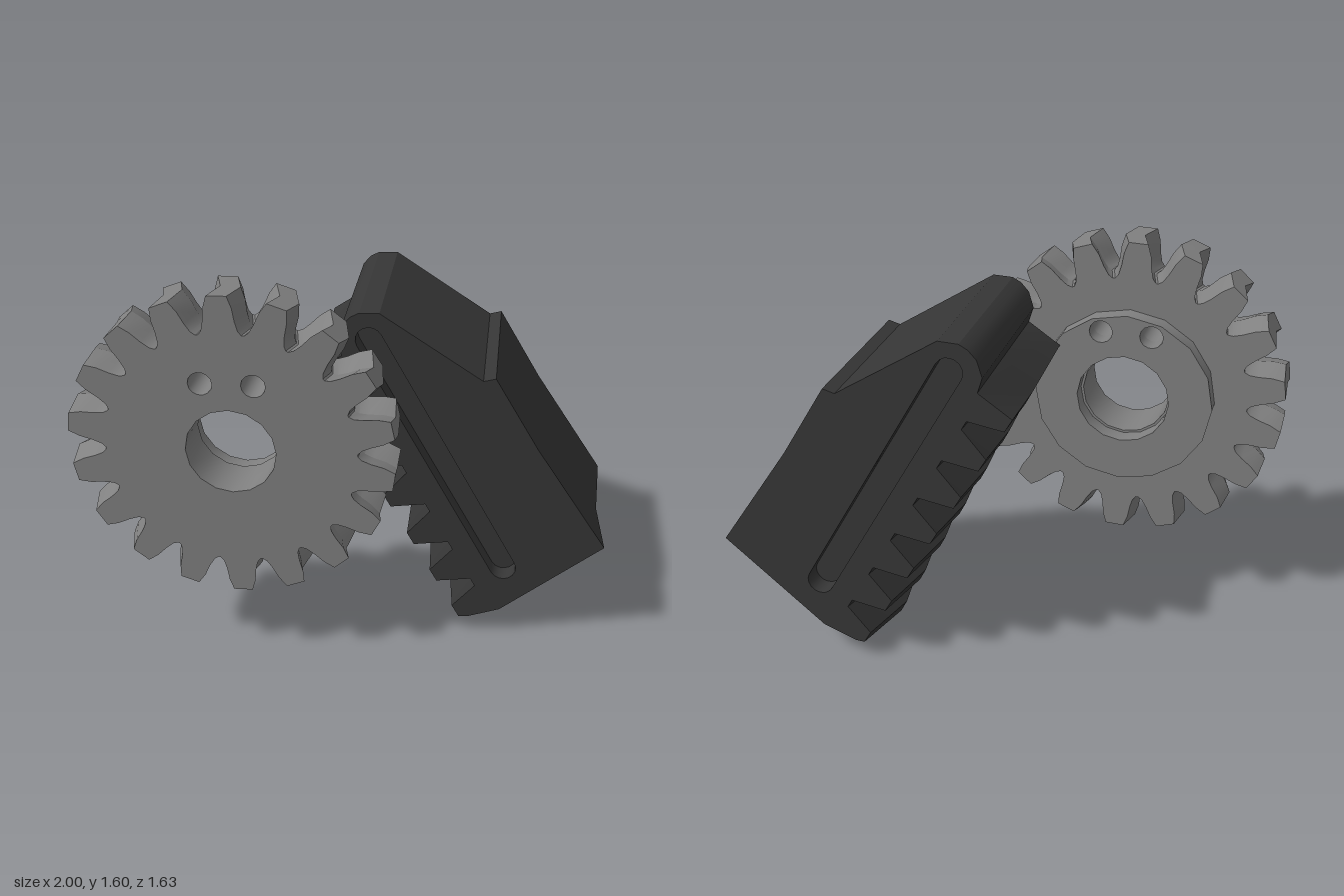
import * as THREE from 'three';
import { toCreasedNormals } from 'three/addons/utils/BufferGeometryUtils.js';

const V = (x, y) => new THREE.Vector2(x, y);

// Points of an arc, anticlockwise when a1 > a0
function arc(cx, cy, r, a0, a1, n) {
  const pts = [];
  for (let i = 0; i <= n; i++) {
    const a = a0 + (a1 - a0) * i / n;
    pts.push(V(cx + r * Math.cos(a), cy + r * Math.sin(a)));
  }
  return pts;
}

// Clockwise circle used as a hole
const hole = (x, y, r, n) => arc(x, y, r, 0, -2 * Math.PI, n).slice(0, n);

// Solid with equal end sections and a shifted middle section (herringbone).
// Holes go right through, or are pockets of the given depth in both ends.
function chevronSolid(end, mid, holes, z0, z1, pocket) {
  const pos = [];
  const tri = (...p) => p.forEach(([v, z]) => pos.push(v.x, v.y, z));
  const wall = (lo, hi, za, zb) => lo.forEach((p, i) => {
    const j = (i + 1) % lo.length;
    tri([p, za], [lo[j], za], [hi[j], zb]);
    tri([p, za], [hi[j], zb], [hi[i], zb]);
  });
  const cap = (outline, inner, z, up) => {
    const all = [outline, ...inner].flat();
    for (const [a, b, c] of THREE.ShapeUtils.triangulateShape(outline.slice(), inner.map((h) => h.slice()))) {
      if (up) tri([all[a], z], [all[b], z], [all[c], z]);
      else tri([all[a], z], [all[c], z], [all[b], z]);
    }
  };
  const zm = (z0 + z1) / 2;
  wall(end, mid, z0, zm);
  wall(mid, end, zm, z1);
  cap(end, holes, z1, true);
  cap(end, holes, z0, false);
  for (const h of holes) {
    if (pocket) {
      const floor = h.slice().reverse();
      wall(h, h, z1 - pocket, z1);
      wall(h, h, z0, z0 + pocket);
      cap(floor, [], z1 - pocket, true);
      cap(floor, [], z0 + pocket, false);
    } else wall(h, h, z0, z1);
  }
  const g = new THREE.BufferGeometry();
  g.setAttribute('position', new THREE.Float32BufferAttribute(pos, 3));
  return toCreasedNormals(g, 0.45);
}

// Outline of the gear: 18 rounded teeth
function gearOutline(turn) {
  const tooth = [[0.485, -0.165], [0.5, -0.135], [0.535, -0.11], [0.585, -0.09], [0.63, -0.06]];
  const side = [...tooth, ...tooth.map(([r, a]) => [r, -a]).reverse()];
  const pts = [];
  for (let k = 0; k < 18; k++) {
    for (const [r, a] of side) {
      const t = Math.PI / 2 + turn + k * Math.PI / 9 + a;
      pts.push(V(r * Math.cos(t), r * Math.sin(t)));
    }
  }
  return pts;
}

export function createModel() {
  const grey = new THREE.MeshStandardMaterial({ color: 0x808080 });
  grey.name = 'mid grey';
  const dark = new THREE.MeshStandardMaterial({ color: 0x363636 });
  dark.name = 'dark grey';

  const model = new THREE.Group();
  model.name = 'gearAndRack';
  const add = (parent, name, geo, mat) => {
    const m = new THREE.Mesh(geo, mat);
    m.name = name;
    parent.add(m);
  };

  // Gear wheel with bore, two small holes and a hub on its back
  const gear = new THREE.Group();
  gear.name = 'gear';
  gear.position.set(-0.522, 0.948, 0);
  const pinHoles = [-0.1, 0.1].map((x) => hole(x, 0.28, 0.046, 14));
  add(gear, 'gearWheel', chevronSolid(gearOutline(0.026), gearOutline(-0.024),
    [hole(0, 0, 0.175, 16), ...pinHoles], 0.2, 0.4), grey);
  const hubRing = arc(0, 0, 0.357, 0, 2 * Math.PI, 16).slice(0, 16);
  add(gear, 'hub', chevronSolid(hubRing, hubRing, [hole(0, 0, 0.185, 16), ...pinHoles], 0.13, 0.2), grey);
  model.add(gear);

  // Rack frame: s runs down along the teeth, t points out of them
  const top = V(-0.028, 1.308);
  const at = (s, t) => V(top.x + 0.485 * s - 0.874 * t, top.y - 0.874 * s - 0.485 * t);
  const shift = (p) => p.clone().rotateAround(V(-1.4, 0.72), -0.042);

  const head = [V(0.012, 1.42), V(-0.066, 1.418), V(-0.1, 1.4), V(-0.132, 1.365), V(-0.152, 1.3), V(-0.134, 1.24)];
  const teeth = [];
  for (let k = 0; k < 7; k++) {
    const s = 0.051 + 0.2 * k;
    if (k) teeth.push(at(s - 0.08, 0.147));
    teeth.push(at(s - 0.03, 0.28), at(s + 0.03, 0.28));
    if (k < 6) teeth.push(at(s + 0.08, 0.147));
  }
  const foot = [V(0.385, 0.054), V(0.519, 0.102)];
  const footMid = [V(0.375, 0.008), V(0.475, 0)];
  const back = [V(0.929, 0.44), V(0.637, 0.876), V(0.46, 1.173), V(0.412, 1.16)];
  const backMid = [V(0.91, 0.42), V(0.627, 0.87), V(0.46, 1.173), V(0.412, 1.16)];

  // Long round-ended slot sunk into both sides of the rack
  const dir = Math.atan2(-0.874, 0.485);
  const low = at(1.14, 0);
  const slot = [
    ...arc(top.x, top.y, 0.053, dir + Math.PI * 1.5, dir + Math.PI / 2, 8),
    ...arc(low.x, low.y, 0.053, dir + Math.PI / 2, dir - Math.PI / 2, 8),
  ];
  add(model, 'toothedRack', chevronSolid(
    [...head, ...teeth, ...foot, ...back],
    [...head, ...teeth.map(shift), ...footMid, ...backMid],
    [slot], -0.557, 0.12, 0.08), dark);

  model.rotation.y = -0.94;
  const root = new THREE.Group();
  root.name = 'model';
  root.add(model);
  return root;
}
